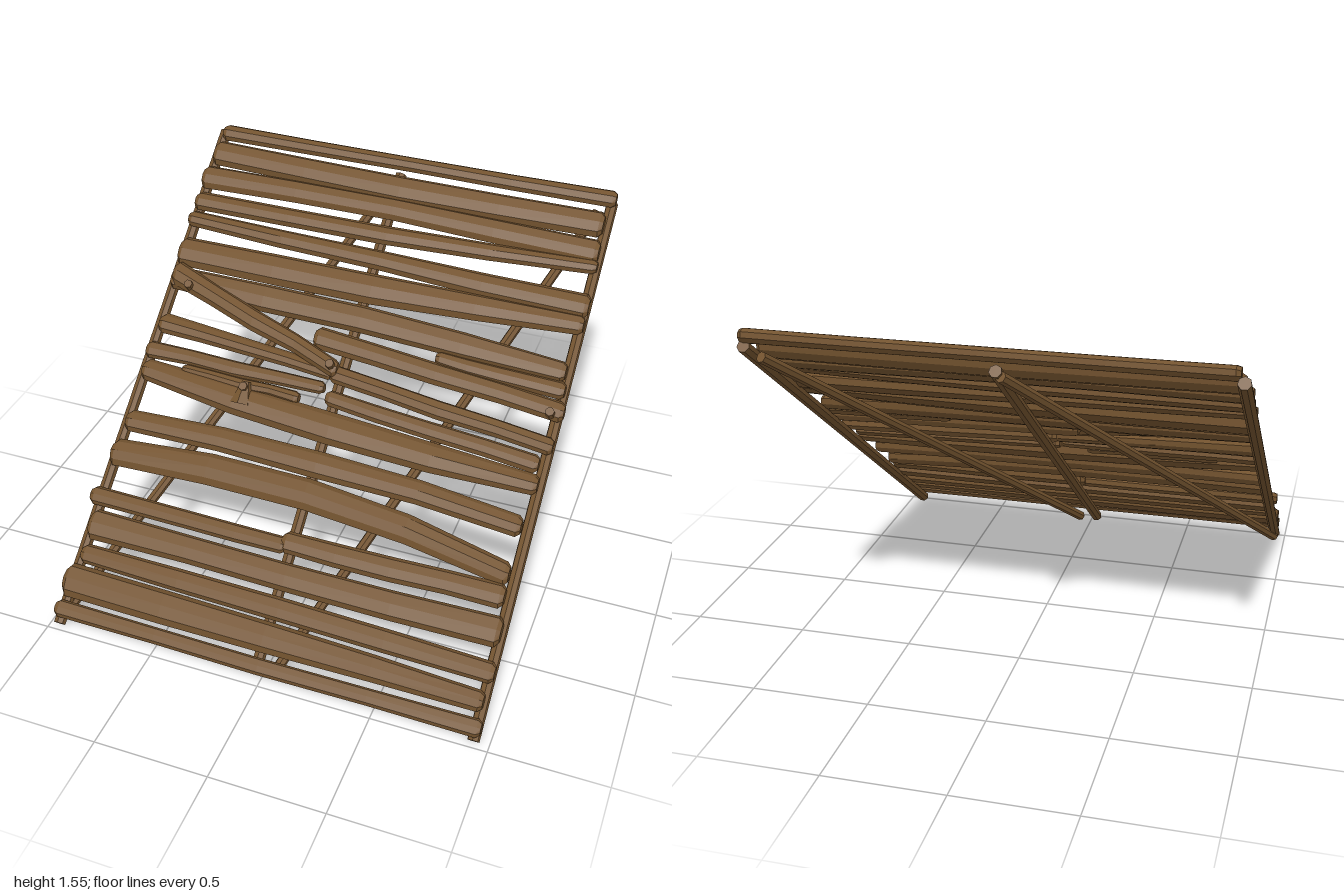
import * as THREE from 'three';

const wood = new THREE.MeshStandardMaterial({ color: 0x73532f, flatShading: true });
wood.name = 'brown wood';

const SLOPE = 0.753;
const up = new THREE.Vector3(0, SLOPE, -1).normalize(); // direction up the ramp
const out = new THREE.Vector3(0, 1, SLOPE).normalize(); // normal of the ramp
const onRamp = (x, z, dy = 0) => new THREE.Vector3(x, 0.76 - SLOPE * z + dy, z);
const SIDES = 8;
const STEPS = 4;

// Smooth curve through start, middle and end values
const bend = (a, m, b, t) =>
  a * (1 - t) * (1 - 2 * t) + 4 * m * t * (1 - t) + b * t * (2 * t - 1);

// Rough log across the ramp: x, z and half width each run start, middle, end
function logGeometry(x0, x1, z, w, lift, rand) {
  const wobble = Array.from({ length: SIDES }, () => 0.92 + rand() * 0.14);
  const rings = [];
  for (let i = 0; i <= STEPS; i++) {
    const t = i / STEPS;
    const knot = i % STEPS ? (rand() - 0.5) * 0.008 : 0;
    rings.push([x0 + (x1 - x0) * t, bend(...z, t) + knot, bend(...w, t) + knot / 2]);
  }
  // Bevelled tips
  rings[0][0] += 0.018;
  rings[STEPS][0] -= 0.018;
  rings.unshift([x0, z[0], w[0] * 0.65]);
  rings.push([x1, z[2], w[2] * 0.65]);

  const pos = [], idx = [];
  for (const [x, zc, half] of rings) {
    for (let j = 0; j < SIDES; j++) {
      const a = (j / SIDES) * Math.PI * 2;
      const p = onRamp(x, zc, lift)
        .addScaledVector(up, Math.cos(a) * half * 1.25 * wobble[j])
        .addScaledVector(out, Math.sin(a) * (half * 0.45 + 0.014) * wobble[j]);
      pos.push(p.x, p.y, p.z);
    }
  }
  const end = (rings.length - 1) * SIDES;
  for (let a = 0; a < end; a++) {
    const b = a - (a % SIDES) + ((a + 1) % SIDES);
    idx.push(a, b, a + SIDES, b, b + SIDES, a + SIDES);
  }
  for (let j = 1; j < SIDES - 1; j++) {
    idx.push(0, j + 1, j, end, end + j, end + j + 1);
  }
  const g = new THREE.BufferGeometry();
  g.setAttribute('position', new THREE.Float32BufferAttribute(pos, 3));
  g.setIndex(idx);
  g.computeVertexNormals();
  return g;
}

export function createModel() {
  const model = new THREE.Group();
  model.name = 'log ramp';

  let seed = 7;
  const rand = () => (seed = (seed * 16807) % 2147483647) / 2147483647;

  const add = (name, geometry) => {
    const m = new THREE.Mesh(geometry, wood);
    m.name = name;
    model.add(m);
    return m;
  };

  // Straight pole between two points
  const pole = (name, a, b, r0, r1 = r0) => {
    const dir = b.clone().sub(a);
    const m = add(name, new THREE.CylinderGeometry(r1, r0, dir.length(), 7));
    m.position.copy(a).add(b).multiplyScalar(0.5);
    m.quaternion.setFromUnitVectors(new THREE.Vector3(0, 1, 0), dir.normalize());
  };

  // Side rails
  pole('rightRail', onRamp(-0.95, 0.98), onRamp(-0.945, -0.98), 0.026);
  pole('leftRail', onRamp(0.935, 0.98), onRamp(0.94, -0.95), 0.026);

  // Centre beam and diagonal braces underneath
  pole('centreBeam', onRamp(-0.03, 0.94, -0.02), onRamp(-0.04, -0.93, -0.01), 0.026);
  pole('rightBrace', onRamp(-0.95, 0.92, -0.035), onRamp(-0.06, -0.93, -0.03), 0.023);
  pole('leftBrace', onRamp(0.05, 0.92, -0.035), onRamp(0.88, -0.93, -0.03), 0.023);

  // Full-width logs, top to bottom: z then half width at start, middle, end
  const fullLogs = [
    [-0.935, -0.93, -0.925, 0.034, 0.03, 0.034],
    [-0.845, -0.825, -0.82, 0.05, 0.052, 0.05],
    [-0.74, -0.74, -0.715, 0.045, 0.042, 0.046],
    [-0.64, -0.635, -0.66, 0.037, 0.037, 0.028],
    [-0.565, -0.535, -0.51, 0.032, 0.04, 0.048],
    [-0.43, -0.425, -0.44, 0.057, 0.058, 0.036],
    [-0.32, -0.3, -0.26, 0.045, 0.054, 0.038],
    [0.045, 0.115, 0.145, 0.04, 0.06, 0.036],
    [0.245, 0.245, 0.295, 0.04, 0.047, 0.038],
    [0.37, 0.36, 0.46, 0.048, 0.055, 0.04],
    [0.64, 0.65, 0.65, 0.058, 0.051, 0.055],
    [0.75, 0.767, 0.785, 0.035, 0.042, 0.036],
    [0.85, 0.86, 0.88, 0.06, 0.052, 0.036],
    [0.955, 0.965, 0.965, 0.032, 0.03, 0.032],
  ];
  fullLogs.forEach((s, i) => {
    const x0 = -0.93 - rand() * 0.045, x1 = 0.915 + rand() * 0.05;
    add('crossLog' + (i + 1), logGeometry(x0, x1, s.slice(0, 3), s.slice(3), 0.053, rand));
  });

  // Short logs and the raised patch plank: x, z, half width at each end, then lift
  const shortLogs = {
    upperShortLog: [-0.19, -0.205, 0.042, 0.97, -0.12, 0.037, 0.053],
    upperSplinter: [0.37, -0.22, 0.026, 0.95, -0.195, 0.033, 0.053],
    brokenLogRight: [-0.93, -0.14, 0.038, -0.06, -0.085, 0.026, 0.053],
    brokenLogLeft: [-0.07, -0.085, 0.036, 0.96, 0.005, 0.034, 0.053],
    thinLogRight: [-0.95, -0.03, 0.034, -0.08, -0.025, 0.025, 0.053],
    looseStick: [-0.75, 0.015, 0.022, -0.18, 0.03, 0.026, 0.053],
    thinLogLeft: [-0.06, 0.005, 0.03, 0.92, 0.075, 0.034, 0.053],
    lowerShortLogRight: [-0.98, 0.54, 0.033, -0.04, 0.55, 0.03, 0.053],
    lowerShortLogLeft: [-0.06, 0.535, 0.038, 0.92, 0.535, 0.042, 0.053],
    patchPlank: [-0.93, -0.32, 0.048, -0.04, -0.085, 0.034, 0.085],
  };
  for (const [name, [x0, z0, w0, x1, z1, w1, lift]] of Object.entries(shortLogs)) {
    const z = [z0, (z0 + z1) / 2, z1], w = [w0, (w0 + w1) / 2, w1];
    add(name, logGeometry(x0, x1, z, w, lift, rand));
  }

  // Broken branch stub
  pole('branchStub', onRamp(-0.43, 0.1, 0.06), onRamp(-0.43, 0.035, 0.09), 0.055, 0.02);

  // Pegs standing off the surface
  const pegs = [[-0.83, -0.27, 0.09], [-0.07, -0.085, 0.09], [0.915, -0.1, 0.06], [-0.43, 0.05, 0.07]];
  pegs.forEach((p, i) => {
    const base = onRamp(...p);
    pole('peg' + (i + 1), base, base.clone().addScaledVector(out, 0.045), 0.022, 0.02);
  });

  return model;
}
